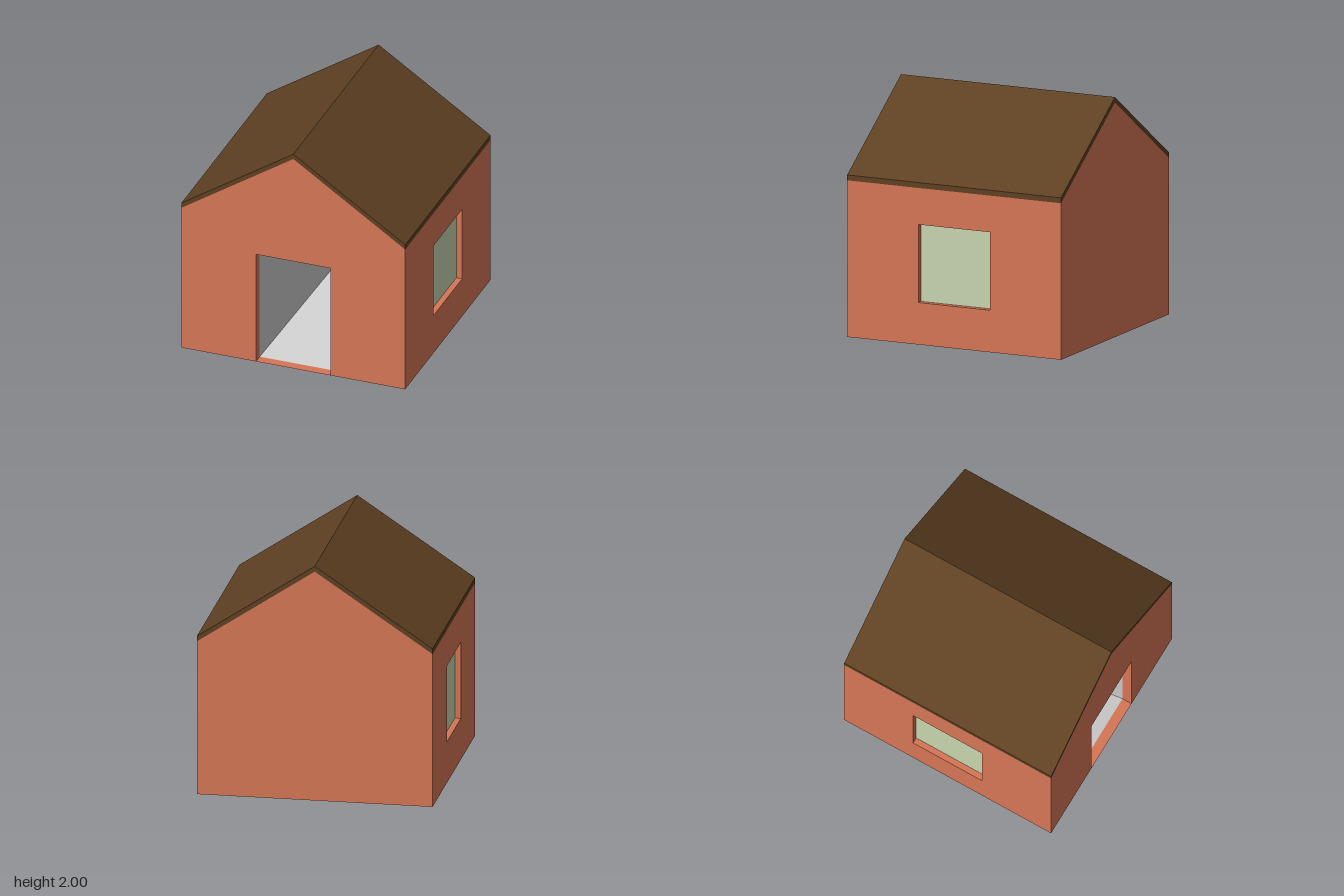
import * as THREE from 'three';

const HALF = 0.975;      // half width and half depth of the house
const EAVE = 1.305;      // top of the side walls
const PEAK = 1.955;      // top of the gables
const ROOF = 0.045;      // vertical roof thickness
const OPEN = 0.325;      // half width of door and windows
const DOOR_DEPTH = 0.085;
const WALL = 0.05;

const shapeOf = (points) => new THREE.Shape(points.map(([x, y]) => new THREE.Vector2(x, y)));
const extrude = (shape, depth) => new THREE.ExtrudeGeometry(shape, { depth, bevelEnabled: false });

export function createModel() {
  const house = new THREE.Group();
  house.name = 'house';
  const paint = (color, side = THREE.FrontSide) =>
    new THREE.MeshStandardMaterial({ color, side });
  const wallPaint = paint(0xd67656);
  const roofPaint = paint(0x5e4022);
  const panePaint = paint(0xc8d5ae);

  const add = (name, geometry, material, x = 0, y = 0, z = 0) => {
    const mesh = new THREE.Mesh(geometry, material);
    mesh.name = name;
    mesh.position.set(x, y, z);
    house.add(mesh);
    return mesh;
  };

  // Gable walls, the front one notched for the doorway
  const gableTop = [[HALF, 0], [HALF, EAVE], [0, PEAK], [-HALF, EAVE], [-HALF, 0]];
  const doorNotch = [[-OPEN, 0], [-OPEN, 1], [OPEN, 1], [OPEN, 0]];
  add('frontWall', extrude(shapeOf([...gableTop, ...doorNotch]), DOOR_DEPTH), wallPaint, 0, 0, HALF - DOOR_DEPTH);
  add('backWall', extrude(shapeOf(gableTop), WALL), wallPaint, 0, 0, -HALF);

  // Side walls with a recessed window each
  const front = HALF - DOOR_DEPTH, back = HALF - WALL;
  const sideShape = shapeOf([[-front, 0], [back, 0], [back, EAVE], [-front, EAVE]]);
  sideShape.holes.push(shapeOf([[-OPEN, 0.35], [-OPEN, 1], [OPEN, 1], [OPEN, 0.35]]));
  const sideGeometry = extrude(sideShape, WALL).rotateY(Math.PI / 2);
  for (const [label, s] of [['left', 1], ['right', -1]]) {
    add(label + 'Wall', sideGeometry, wallPaint, s > 0 ? HALF - WALL : -HALF);
    const pane = add(label + 'WindowPane', new THREE.PlaneGeometry(2 * OPEN, 0.65),
      panePaint, s * (HALF - WALL), 0.675);
    pane.rotation.y = s * Math.PI / 2;
  }

  // Floor, also the door sill
  add('floor', new THREE.PlaneGeometry(2 * HALF, 2 * HALF).rotateX(-Math.PI / 2),
    paint(0xd67656, THREE.DoubleSide));

  // Gabled roof slab, flush with the walls
  const roofShape = shapeOf([[HALF, EAVE], [HALF, EAVE + ROOF], [0, PEAK + ROOF],
    [-HALF, EAVE + ROOF], [-HALF, EAVE], [0, PEAK]]);
  add('roof', extrude(roofShape, 2 * HALF), roofPaint, 0, 0, -HALF);

  // Doorway interior: four faces tapering inward to one point
  const rim = [[-OPEN, 0, front], [OPEN, 0, front], [OPEN, 1, front], [-OPEN, 1, front]];
  const apex = [0, 0.45, -0.5];
  const corners = rim.flatMap((p, i) => [...p, ...rim[(i + 1) % 4], ...apex]);
  const recess = new THREE.BufferGeometry();
  recess.setAttribute('position', new THREE.Float32BufferAttribute(corners, 3));
  recess.computeVertexNormals();
  add('doorwayRecess', recess, paint(0xcccccc));

  return house;
}
